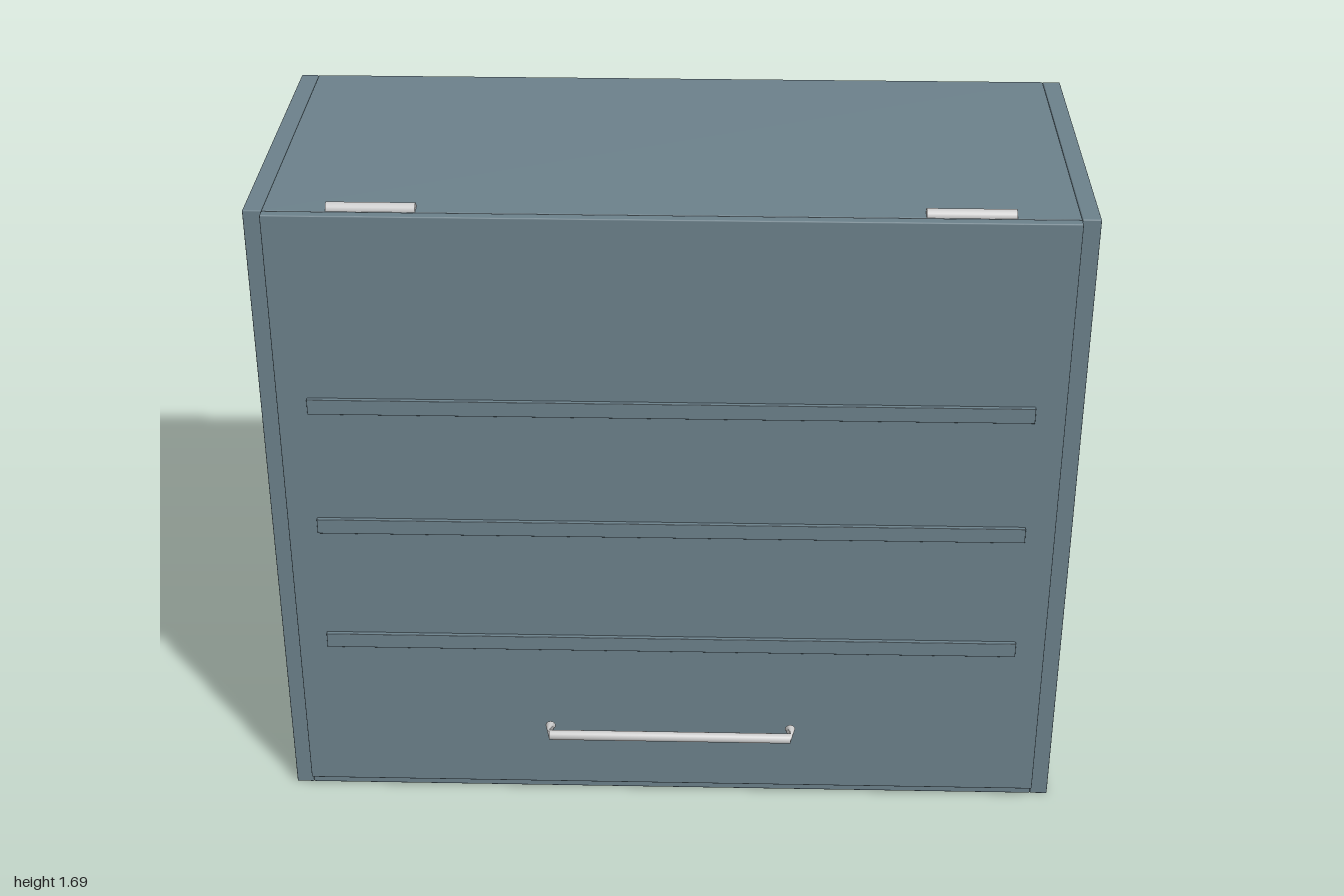
import * as THREE from 'three';
import { RoundedBoxGeometry } from 'three/addons/geometries/RoundedBoxGeometry.js';

const paint = new THREE.MeshStandardMaterial({ color: 0x6b808a });
const metal = new THREE.MeshStandardMaterial({ color: 0xcccccc });

// Handle: rings swept along a square-cornered path, bar rings facing x, post ends facing z
function handleGeometry(halfWidth, zBack, zFront, r, sides = 16) {
  const rings = [
    [-halfWidth, zBack, -1, 0],
    [-halfWidth, zFront, 0, 1],
    [halfWidth, zFront, 0, 1],
    [halfWidth, zBack, 1, 0],
  ];
  const pos = [], index = [];
  for (const [x, z, nx, nz] of rings) {
    for (let j = 0; j < sides; j++) {
      const a = (j / sides) * Math.PI * 2;
      pos.push(x + nx * r * Math.cos(a), r * Math.sin(a), z + nz * r * Math.cos(a));
    }
  }
  for (let i = 0; i < rings.length - 1; i++) {
    for (let j = 0; j < sides; j++) {
      const k = (j + 1) % sides;
      const a = i * sides + j, b = i * sides + k;
      index.push(a, a + sides, b, b, a + sides, b + sides);
    }
  }
  const g = new THREE.BufferGeometry();
  g.setAttribute('position', new THREE.Float32BufferAttribute(pos, 3));
  g.setIndex(index);
  g.computeVertexNormals();
  return g;
}

export function createModel() {
  const group = new THREE.Group();

  const add = (name, geometry, material, x = 0, y = 0, z = 0) => {
    const mesh = new THREE.Mesh(geometry, material);
    mesh.name = name;
    mesh.position.set(x, y, z);
    group.add(mesh);
    return mesh;
  };
  // Panel given by its limits on each axis, with a tiny eased edge
  const panel = (name, x0, x1, y0, y1, z0, z1, material = paint, ease = 0.003) =>
    add(name, new RoundedBoxGeometry(x1 - x0, y1 - y0, z1 - z0, 1, ease), material,
      (x0 + x1) / 2, (y0 + y1) / 2, (z0 + z1) / 2);

  // Carcass
  const W = 1, T = 0.045, H = 1.67, back = -0.47, front = 0.4;
  panel('rightSide', -W, -W + T, 0, H, back, front);
  panel('leftSide', W - T, W, 0, H, back, front);
  panel('bottomPanel', -W + T, W - T, 0, T, back, front);
  panel('topPanel', -W + T, W - T, H - T, H, back, front);
  panel('backPanel', -W + T, W - T, T, H - T, back, back + 0.02);

  // Lift-up door with three raised slats
  panel('door', -0.955, 0.955, 0.035, H, front, 0.427);
  for (const y of [0.485, 0.828, 1.168])
    panel('doorSlat', -0.88, 0.88, y - 0.02, y + 0.02, 0.42, 0.438, paint, 0.001);

  // Hinge barrels and wall brackets, mirrored
  for (const s of [-1, 1]) {
    const hinge = add('hinge', new THREE.CylinderGeometry(0.016, 0.016, 0.21, 20), metal, s * 0.7, H, 0.383);
    hinge.rotation.z = Math.PI / 2;
    const x = s * 0.58;
    panel('wallBracket', x - 0.205, x + 0.205, 1.44, 1.607, -0.5, back, metal, 0.004);
  }

  // Pull handle
  const handleMetal = metal.clone();
  handleMetal.side = THREE.DoubleSide;
  add('handle', handleGeometry(0.312, 0.445, 0.486, 0.013), handleMetal, 0, 0.232, 0);

  return group;
}
